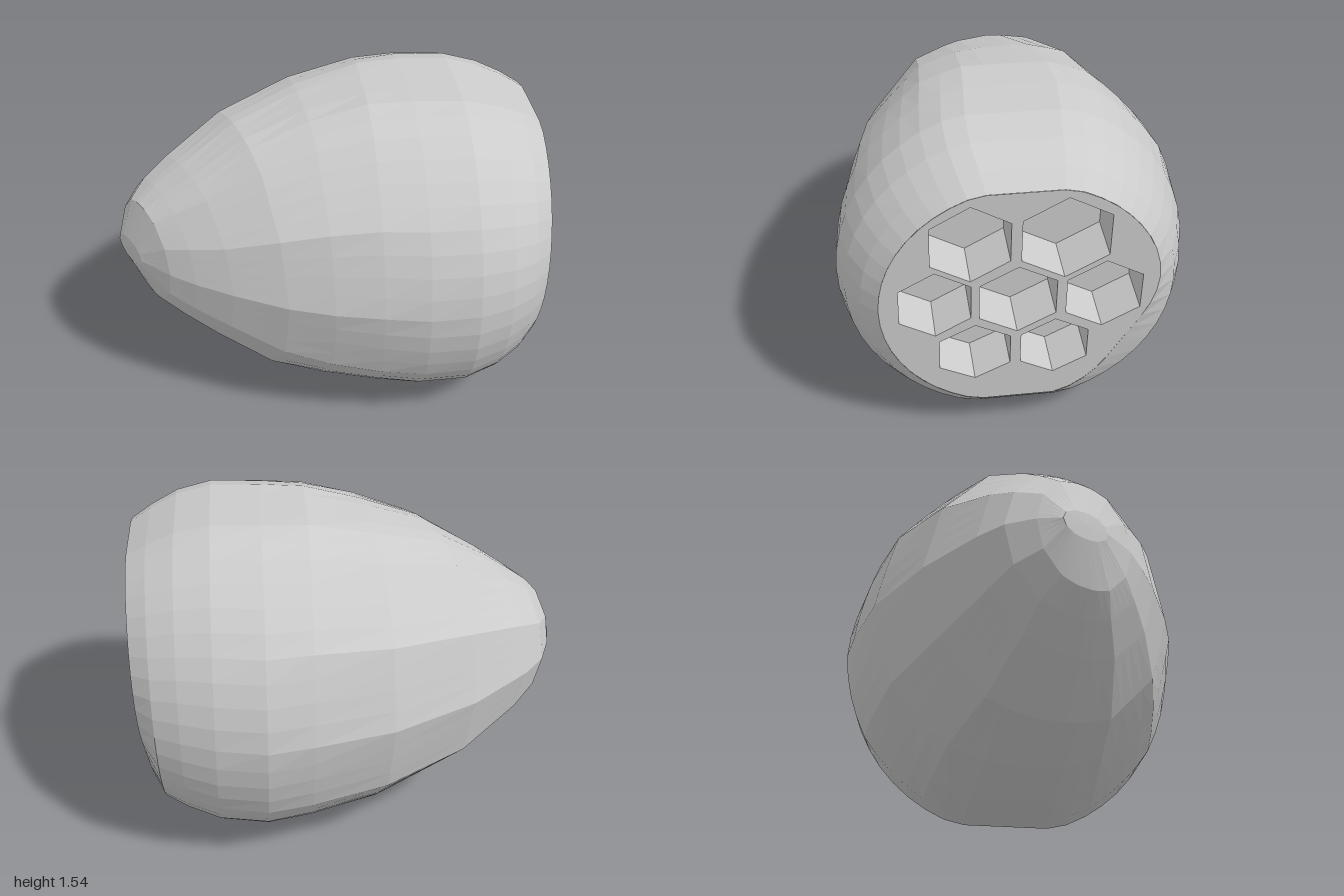
import * as THREE from 'three';

const FACE = 0.757;   // distance of the cut face along the pod axis
const MID = 0.8;      // height of the face centre
const PITCH = 0.055;  // the cut face leans forward a little at the top
const DEPTH = 0.22;   // depth of the cells
const SIDES = 48;

// Pod cross-sections along the axis:
// [position, left, right, bottom, top, sideways tilt, forward lean, facets (1 = twelve flat sides, 0 = round)]
const STATIONS = [
  [-1.11, -0.131, 0.073, 0.76, 0.88, -0.518, 0, 1],
  [-1.033, -0.255, 0.176, 0.58, 1.06, -0.49, 0, 1],
  [-0.95, -0.33, 0.30, 0.49, 1.13, -0.44, 0, 1],
  [-0.82, -0.42, 0.40, 0.38, 1.22, -0.42, 0, 1],
  [-0.57, -0.53, 0.60, 0.19, 1.38, -0.28, 0, 1],
  [-0.28, -0.60, 0.79, 0.085, 1.48, -0.1, 0, 0.8],
  [0.0, -0.65, 0.875, 0.02, 1.54, 0, 0, 0.5],
  [0.2, -0.685, 0.905, 0.0, 1.545, 0, 0, 0.2],
  [0.42, -0.695, 0.875, 0.02, 1.54, 0, 0, 0],
  [0.57, -0.663, 0.83, 0.08, 1.5, 0, 0.01, 0],
  [0.68, -0.6, 0.78, 0.14, 1.44, 0, 0.03, 0],
  [FACE, -0.527, 0.71, 0.21, 1.385, 0, PITCH, 0],
];

// Hexagonal cells: [x, y, half width, half height]
const CELLS = [
  [-0.133, 1.13, 0.17, 0.2], [0.272, 1.13, 0.188, 0.213],
  [-0.285, 0.81, 0.155, 0.18], [0.075, 0.805, 0.168, 0.185], [0.452, 0.8, 0.165, 0.187],
  [-0.11, 0.51, 0.157, 0.162], [0.244, 0.51, 0.15, 0.162],
];

const material = () => new THREE.MeshStandardMaterial({ color: 0xcccccc, flatShading: true });

function named(name, geometry) {
  const mesh = new THREE.Mesh(geometry, material());
  mesh.name = name;
  return mesh;
}

// Closed cross-section, counter-clockwise, flattened a little at top and bottom
function section([z, left, right, bottom, top, tilt, lean, facets]) {
  const cx = (left + right) / 2, cy = (bottom + top) / 2;
  const step = Math.PI / 6;
  return Array.from({ length: SIDES }, (_, i) => {
    const a = (i / SIDES) * Math.PI * 2;
    const flat = Math.cos(step / 2) / Math.cos((a % step) - step / 2);
    let r = THREE.MathUtils.lerp(1, flat, facets);
    // the rim of the cut face is worn away at the lower right
    if (z === FACE) r -= 0.13 * Math.max(0, Math.cos(a + Math.PI / 6)) ** 8;
    const x = ((right - left) / 2) * r * Math.cos(a);
    const y = cy + ((top - bottom) / 2) * THREE.MathUtils.clamp(1.05 * r * Math.sin(a), -1, 1);
    return new THREE.Vector3(cx + x, y, z + tilt * x + lean * (y - MID));
  });
}

// Pointed-top hexagon at depth z in the face's own frame, counter-clockwise
function hexagon([x, y, hw, hh], z) {
  return [[1, 0.5], [0, 1], [-1, 0.5], [-1, -0.5], [0, -1], [1, -0.5]]
    .map(([u, v]) => new THREE.Vector3(x + u * hw, y - MID + v * hh, z));
}

// Skin between closed rings of equal point count
function loft(rings) {
  const n = rings[0].length;
  const index = [];
  for (let r = 0; r < rings.length - 1; r++) {
    for (let i = 0; i < n; i++) {
      const a = r * n + i, b = r * n + ((i + 1) % n);
      index.push(a, b, a + n, b, b + n, a + n);
    }
  }
  const geometry = new THREE.BufferGeometry().setFromPoints(rings.flat());
  geometry.setIndex(index);
  geometry.computeVertexNormals();
  return geometry;
}

export function createModel() {
  const model = new THREE.Group();
  model.name = 'seedPod';

  // The pod is built along z, then turned so its cut face looks to the front left
  const pod = new THREE.Group();
  pod.name = 'pod';
  pod.rotation.y = Math.atan2(0.888, 0.46);
  model.add(pod);

  // Shell, closed at the blunt tip
  const rings = STATIONS.map(section);
  const rim = rings[rings.length - 1];
  const tip = new THREE.Vector3(-0.03, 0.83, -1.112);
  pod.add(named('shell', loft([Array(SIDES).fill(tip), ...rings])));

  // Cut face with openings for the cells
  const front = new THREE.Group();
  front.name = 'front';
  front.position.set(0, MID, FACE);
  front.rotation.x = PITCH;
  pod.add(front);
  const faceShape = new THREE.Shape(rim.map((p) => new THREE.Vector2(p.x, p.y - MID)));
  CELLS.forEach((c) => faceShape.holes.push(new THREE.Path(hexagon(c, 0))));
  front.add(named('cutFace', new THREE.ShapeGeometry(faceShape)));

  // Hexagonal cells: inward walls and a floor
  CELLS.forEach((c, i) => {
    const mouth = hexagon(c, 0), base = hexagon(c, -DEPTH);
    const cell = new THREE.Group();
    cell.name = `cell${i + 1}`;
    const floor = named('cellFloor', new THREE.ShapeGeometry(new THREE.Shape(base)));
    floor.position.z = -DEPTH;
    cell.add(named('cellWalls', loft([mouth, base])), floor);
    front.add(cell);
  });

  return model;
}
